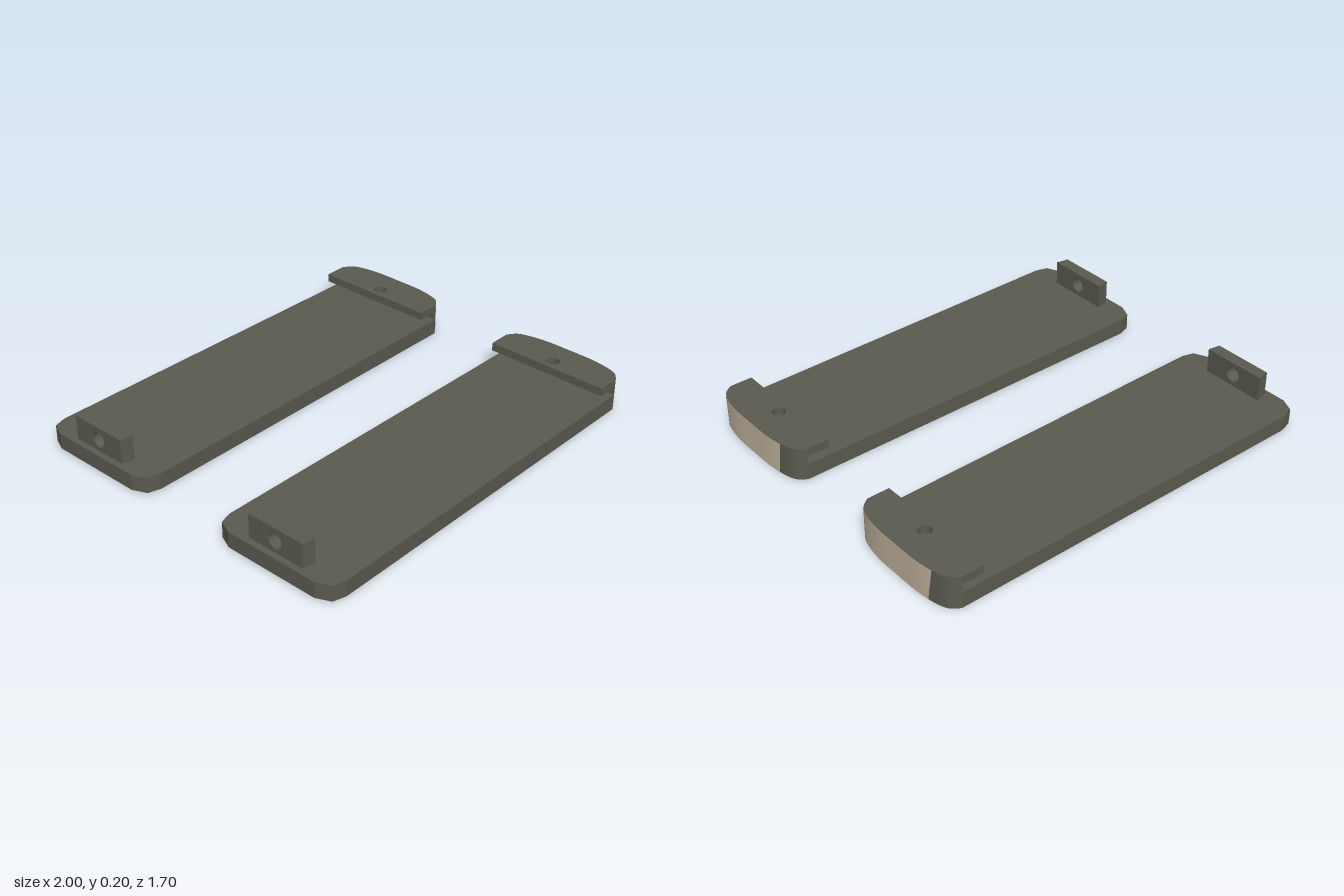
import * as THREE from 'three';

const grey = new THREE.MeshStandardMaterial({ color: 0x5c5b50 });
grey.name = 'darkGrey';
const tan = new THREE.MeshStandardMaterial({ color: 0xc4b59e });
tan.name = 'tan';

// Rounded end outline in (x, z), running from +z to -z
const half = [[0.92, 0.31], [0.963, 0.275], [0.984, 0.215], [0.997, 0.12]];
const endCurve = new THREE.SplineCurve([
  ...half, [0.998, 0], ...half.map(([x, z]) => [x, -z]).reverse(),
].map(([x, z]) => new THREE.Vector2(x, z)));
const endPoints = endCurve.getPoints(48);

// Extrude a horizontal (x, z) outline upward from y0 to y1
function slab(name, points, y0, y1, hole) {
  const shape = new THREE.Shape(points.map(p => new THREE.Vector2(p.x, -p.y)));
  if (hole) shape.holes.push(new THREE.Path().absarc(hole.x, 0, hole.r, 0, Math.PI * 2, true));
  const geo = new THREE.ExtrudeGeometry(shape, { depth: y1 - y0, bevelEnabled: false, curveSegments: 20 });
  geo.rotateX(-Math.PI / 2).translate(0, y0, 0);
  const mesh = new THREE.Mesh(geo, grey);
  mesh.name = name;
  return mesh;
}

// Smooth strip on the rounded end; ranges give [bottom, top] curve parameters
function endBand(name, material, start, end) {
  const n = 40, pos = [], index = [];
  for (let i = 0; i <= n; i++) {
    for (let v = 0; v < 2; v++) {
      const p = endCurve.getPoint(THREE.MathUtils.lerp(start[v], end[v], i / n));
      pos.push(p.x + 0.002, v * 0.16, p.y);
    }
    if (i < n) {
      const a = i * 2;
      index.push(a, a + 2, a + 3, a, a + 3, a + 1);
    }
  }
  const geo = new THREE.BufferGeometry();
  geo.setAttribute('position', new THREE.Float32BufferAttribute(pos, 3));
  geo.setIndex(index);
  geo.computeVertexNormals();
  const mesh = new THREE.Mesh(geo, material);
  mesh.name = name;
  return mesh;
}

// Curve parameter at which the outline reaches a given z
function paramAtZ(z) {
  let lo = 0, hi = 1;
  for (let i = 0; i < 30; i++) {
    const mid = (lo + hi) / 2;
    if (endCurve.getPoint(mid).y > z) lo = mid; else hi = mid;
  }
  return lo;
}

function createBoard() {
  const board = new THREE.Group();

  // Long base plate, slightly tapered and slightly raised at the tab end
  const side = [[0.92, 0.31], [-0.91, 0.32], [-0.97, 0.302], [-1, 0.235]];
  const outline = [...side, ...side.map(([x, z]) => [x, -z]).reverse()]
    .map(([x, z]) => new THREE.Vector2(x, z));
  const plate = slab('basePlate', outline.reverse(), 0.004, 0.081);
  plate.rotation.z = -0.003;
  board.add(plate);

  // Raised end wall and the overhanging lip with its hole
  board.add(slab('endWall', endPoints, 0, 0.12));
  const lipOutline = [new THREE.Vector2(0.81, 0.31), ...endPoints, new THREE.Vector2(0.81, -0.31)];
  board.add(slab('endLip', lipOutline, 0.12, 0.16, { x: 0.862, r: 0.032 }));

  // Two-colour outer face of the rounded end
  const split = [paramAtZ(-0.185), paramAtZ(-0.207)];
  board.add(endBand('tanEndBand', tan, [0, 0], split));
  board.add(endBand('greyEndBand', grey, split, [1, 1]));

  // Upright tab with a hole through it, narrower on its outer face
  const tabShape = new THREE.Shape();
  tabShape.moveTo(-0.158, 0.07).lineTo(0.158, 0.07).lineTo(0.158, 0.203).lineTo(-0.158, 0.203);
  tabShape.closePath();
  tabShape.holes.push(new THREE.Path().absarc(0, 0.14, 0.036, 0, Math.PI * 2, true));
  const tabGeo = new THREE.ExtrudeGeometry(tabShape, { depth: 0.06, bevelEnabled: false, curveSegments: 20 });
  tabGeo.rotateY(Math.PI / 2).translate(-0.97, 0, 0);
  const p = tabGeo.attributes.position;
  for (let i = 0; i < p.count; i++) {
    if (p.getX(i) < -0.94 && Math.abs(p.getZ(i)) > 0.1) p.setZ(i, p.getZ(i) * 0.93);
  }
  tabGeo.computeVertexNormals();
  const tab = new THREE.Mesh(tabGeo, grey);
  tab.name = 'uprightTab';
  board.add(tab);
  return board;
}

export function createModel() {
  const model = new THREE.Group();
  model.name = 'boardPair';
  for (const [name, z] of [['backBoard', -0.53], ['frontBoard', 0.53]]) {
    const board = createBoard();
    board.name = name;
    board.position.z = z;
    model.add(board);
  }
  return model;
}
